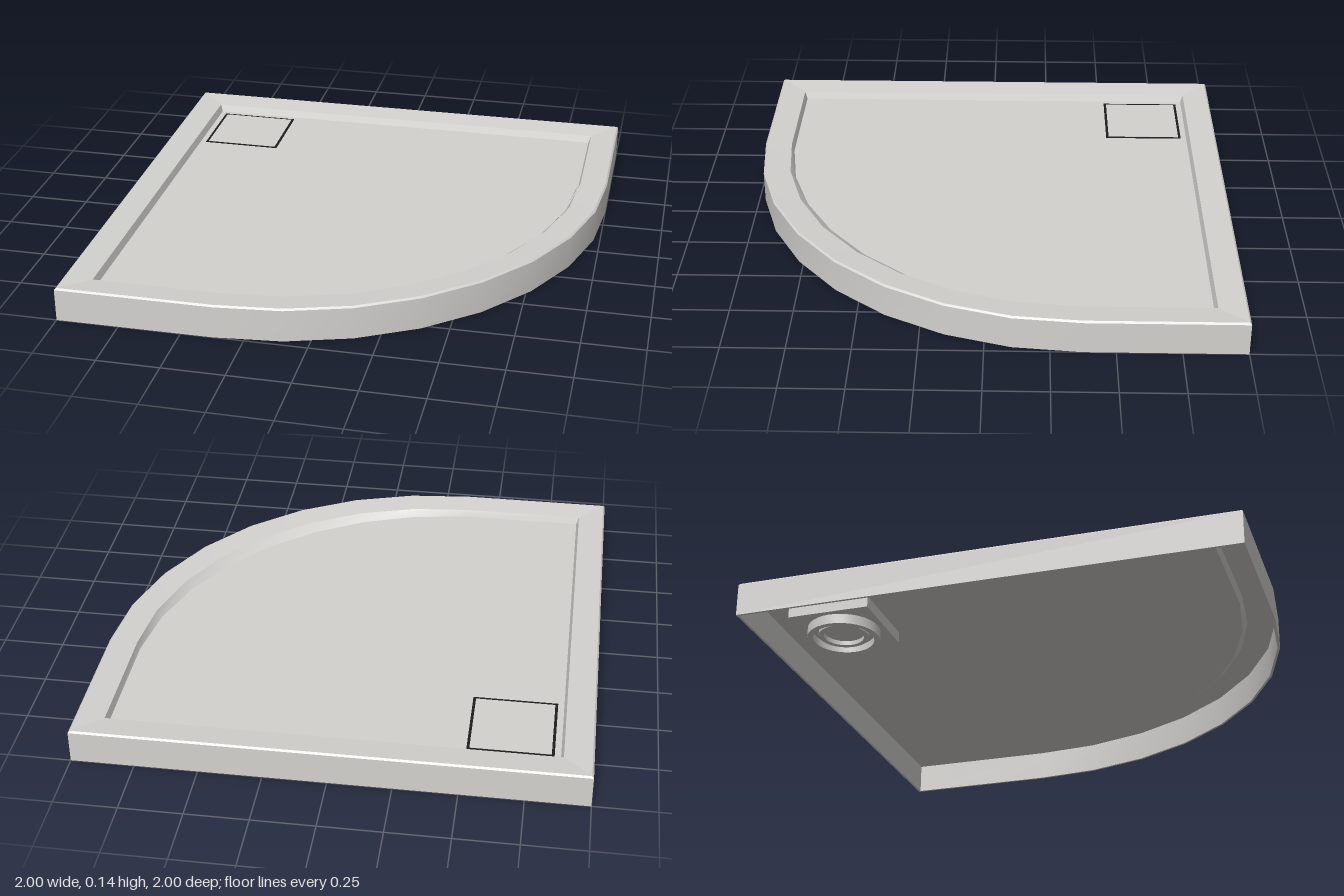
import * as THREE from 'three';
import { toCreasedNormals } from 'three/addons/utils/BufferGeometryUtils.js';

const R = 1.37;      // radius of the curved corner
const C = 1 - R;     // its centre in x and z
const STEPS = 8;

// Quadrant outline moved inward by "inset"; "extra" widens it along the arc only
function outline(inset, extra = 0) {
  const e = 1 - inset;
  const pts = [[-e, -e], [e, -e]];
  for (let i = 0; i <= STEPS; i++) {
    const t = (i / STEPS) * Math.PI / 2;
    const r = R - inset - extra * Math.sin(2 * t);
    pts.push([C + r * Math.cos(t), C + r * Math.sin(t)]);
  }
  pts.push([-e, e]);
  return pts;
}

// Skin between successive [inset, height, extra] rings
function loft(rings, crease) {
  const pos = [];
  for (let k = 0; k < rings.length - 1; k++) {
    const [a, b] = [rings[k], rings[k + 1]].map(([o, y, x]) =>
      outline(o, x).map(([px, pz]) => [px, y, pz]));
    a.forEach((p, i) => {
      const j = (i + 1) % a.length;
      pos.push(...p, ...b[i], ...a[j], ...a[j], ...b[i], ...b[j]);
    });
  }
  const g = new THREE.BufferGeometry();
  g.setAttribute('position', new THREE.Float32BufferAttribute(pos, 3));
  return toCreasedNormals(g, crease);
}

// Flat sheet filling an outline, facing up or down
function sheet(inset, y, extra, up) {
  const s = up ? -1 : 1;
  const shape = new THREE.Shape(outline(inset, extra).map(([x, z]) => new THREE.Vector2(x, s * z)));
  return new THREE.ShapeGeometry(shape).rotateX(s * Math.PI / 2).translate(0, y, 0);
}

export function createModel() {
  const group = new THREE.Group();
  const acrylic = new THREE.MeshStandardMaterial({ color: 0xd3d2cf });
  acrylic.name = 'pale grey acrylic';
  const dark = new THREE.MeshStandardMaterial({ color: 0x1c1c1c });
  dark.name = 'dark seal';

  const add = (name, geometry, material = acrylic) => {
    const mesh = new THREE.Mesh(geometry, material);
    mesh.name = name;
    group.add(mesh);
    return mesh;
  };
  const plate = (name, size, y0, y1, material) =>
    add(name, new THREE.BoxGeometry(size, y1 - y0, size), material)
      .position.set(-0.683, (y0 + y1) / 2, -0.683);

  // Tray: skirt, inward sloping rim, inner wall and floor
  add('skirt', loft([[0, 0], [0, 0.132], [0.007, 0.139]], 0.4));
  add('rim', loft([[0.007, 0.139], [0.115, 0.13]], 0.05));
  add('innerWall', loft([[0.115, 0.13], [0.125, 0.1, 0.03]], 0.4));
  add('floor', sheet(0.125, 0.1, 0.03, true));

  // Hollow underside
  add('undersideShell', loft([
    [0.135, 0.085, 0.03], [0.125, 0.118], [0.01, 0.127], [0.01, 0], [0, 0],
  ], 0.4));
  add('floorUnderside', sheet(0.135, 0.085, 0.03, false));

  // Drain cover with a dark gap around it
  plate('drainSeal', 0.335, 0.096, 0.1012, dark);
  plate('drainCover', 0.313, 0.097, 0.1025, acrylic);

  // Drain sump and outlet below the floor
  plate('drainSump', 0.335, 0.04, 0.086, acrylic);
  const profile = [[0, 0.03], [0.08, 0.03], [0.08, 0.012], [0.1, 0.012], [0.1, 0.03],
    [0.122, 0.03], [0.122, 0], [0.145, 0], [0.145, 0.042]];
  const outlet = new THREE.LatheGeometry(profile.map(([r, y]) => new THREE.Vector2(r, y)), 32);
  add('drainOutlet', toCreasedNormals(outlet, 0.5)).position.set(-0.683, 0, -0.683);

  return group;
}
